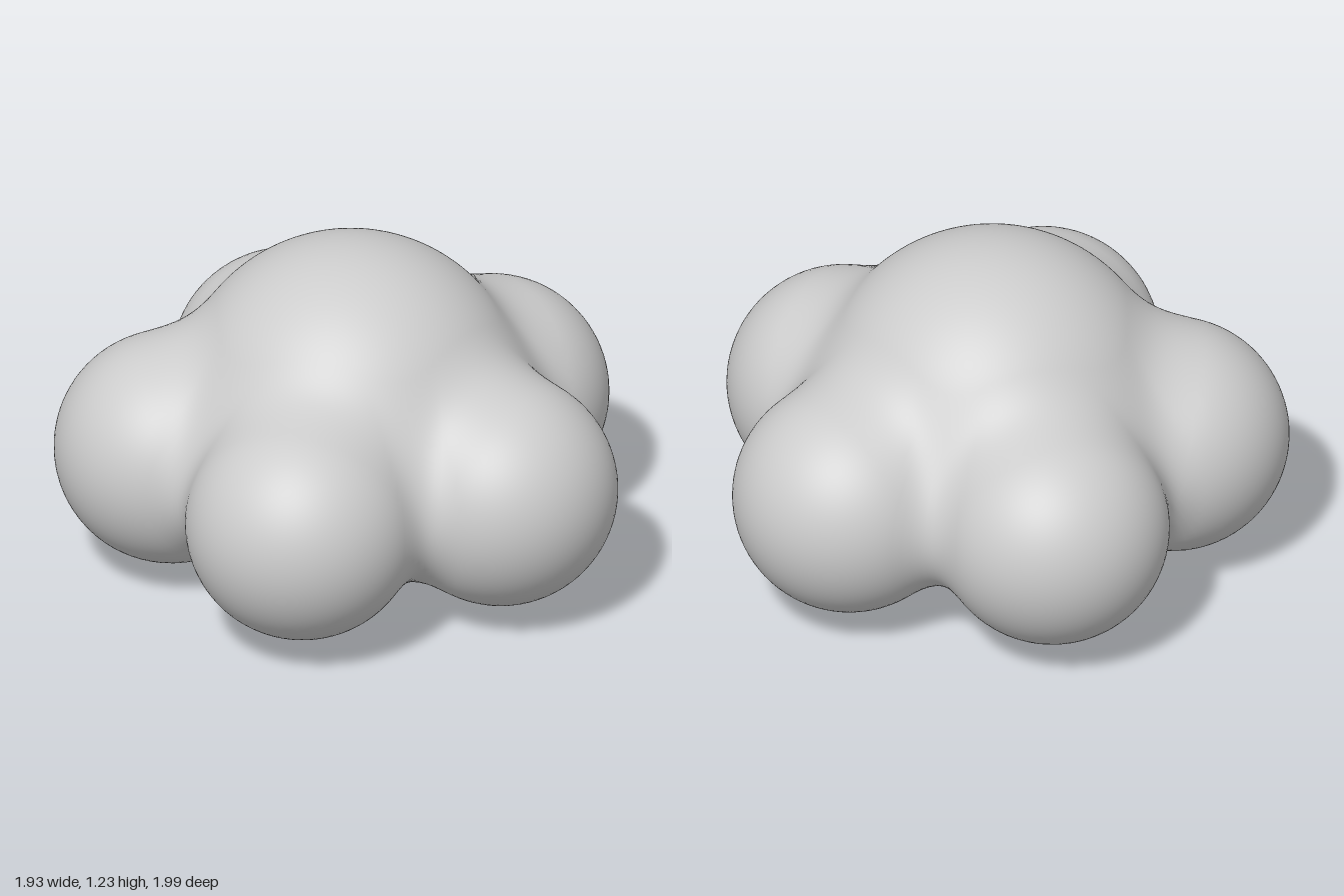
import * as THREE from 'three';

// Puffs of the cloud: a big core ringed by five smaller balls
const CX = -0.06;
const RING = 0.62;
const balls = [];
for (let i = 0; i < 5; i++) {
  const a = (i * Math.PI * 2) / 5;
  balls.push({ c: new THREE.Vector3(CX + RING * Math.cos(a), 0.47, RING * Math.sin(a)), r: 0.405 });
}
balls.push({ c: new THREE.Vector3(CX, 0.613, 0), r: 0.613 });

// Smoothly blended distance to all puffs
const BLEND = 0.16;
function distance(p) {
  let d = Infinity;
  for (const { c, r } of balls) {
    const e = p.distanceTo(c) - r;
    const h = Math.max(BLEND - Math.abs(d - e), 0);
    d = Math.min(d, e) - (h * h) / (4 * BLEND);
  }
  return d;
}

// Surface normal from the slope of the distance
function normalAt(p) {
  const n = new THREE.Vector3();
  for (const axis of ['x', 'y', 'z']) {
    const a = p.clone(), b = p.clone();
    a[axis] += 0.004;
    b[axis] -= 0.004;
    n[axis] = distance(a) - distance(b);
  }
  return n.normalize();
}

// Push every vertex of an icosphere out to the blended surface
function cloudGeometry() {
  const geometry = new THREE.IcosahedronGeometry(1, 36);
  const pos = geometry.attributes.position;
  const nor = geometry.attributes.normal;
  const origin = new THREE.Vector3(CX, 0.5, 0);
  const dir = new THREE.Vector3();
  const p = new THREE.Vector3();
  for (let i = 0; i < pos.count; i++) {
    dir.fromBufferAttribute(pos, i).normalize();
    let lo = 0, hi = 1.4;
    for (let k = 0; k < 22; k++) {
      const mid = (lo + hi) / 2;
      p.copy(origin).addScaledVector(dir, mid);
      if (distance(p) < 0) lo = mid;
      else hi = mid;
    }
    p.copy(origin).addScaledVector(dir, hi);
    const n = normalAt(p);
    pos.setXYZ(i, p.x, p.y, p.z);
    nor.setXYZ(i, n.x, n.y, n.z);
  }
  return geometry;
}

export function createModel() {
  const group = new THREE.Group();
  group.name = 'cloud';
  const grey = new THREE.MeshStandardMaterial({ color: 0xcccccc });
  grey.name = 'light grey';
  const body = new THREE.Mesh(cloudGeometry(), grey);
  body.name = 'cloudBody';
  group.add(body);
  return group;
}
